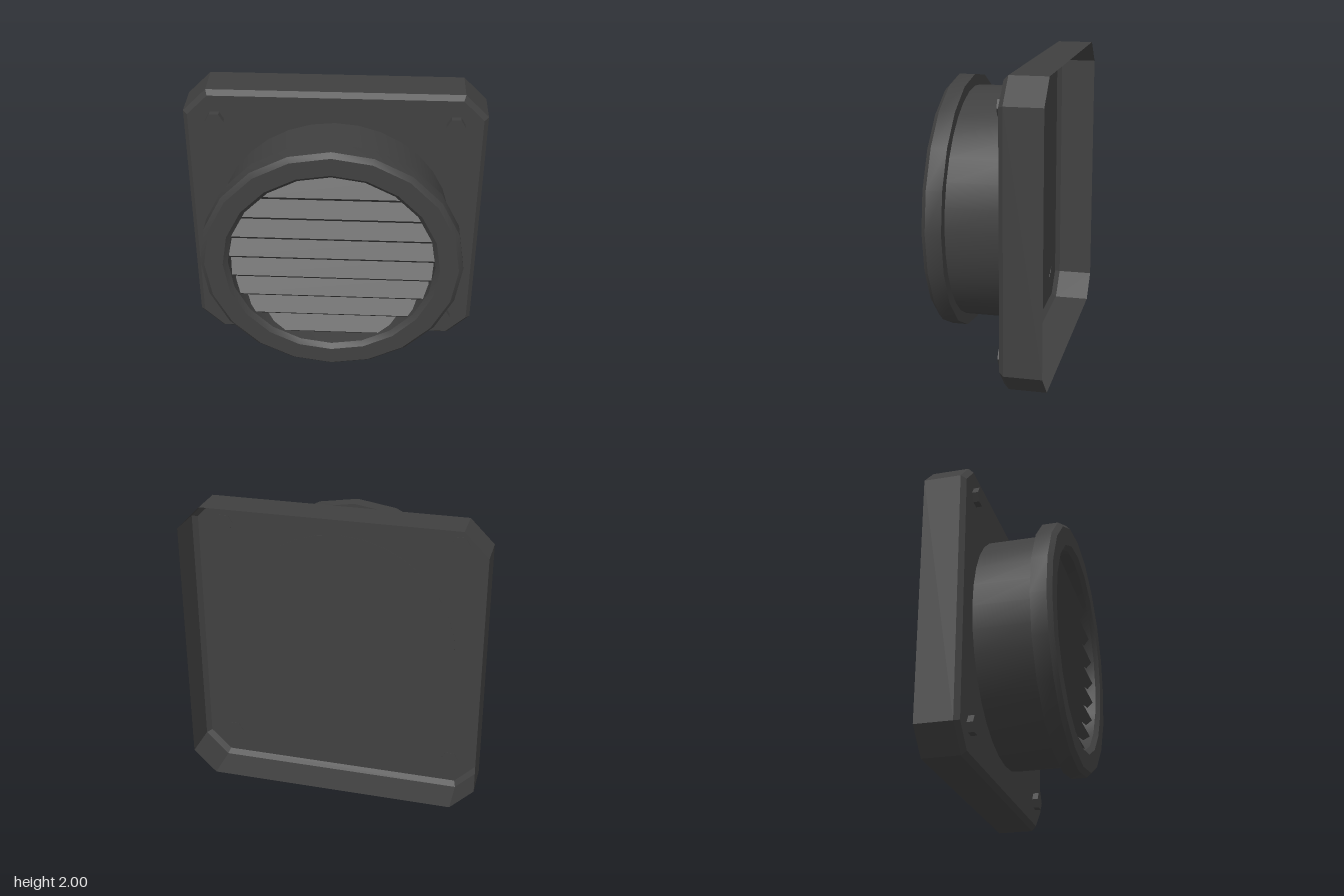
import * as THREE from 'three';
import { toCreasedNormals } from 'three/addons/utils/BufferGeometryUtils.js';

// Octagon outline: half side h, straight edge running to +-c
const octagon = (h, c, z) => [
  [c, -h], [h, -c], [h, c], [c, h], [-c, h], [-h, c], [-h, -c], [-c, -h],
].map(([x, y]) => [x, y, z]);

// Flat-faced shell skinned through the loops, closed at the last one
function loftShell(loops) {
  const pos = [];
  const tri = (...pts) => pts.forEach((p) => pos.push(...p));
  for (let k = 0; k < loops.length - 1; k++) {
    const a = loops[k], b = loops[k + 1];
    a.forEach((p, i) => {
      const j = (i + 1) % a.length;
      tri(p, a[j], b[j]);
      tri(p, b[j], b[i]);
    });
  }
  const cap = loops[loops.length - 1];
  for (let i = 1; i < cap.length - 1; i++) tri(cap[0], cap[i], cap[i + 1]);
  const geo = new THREE.BufferGeometry();
  geo.setAttribute('position', new THREE.Float32BufferAttribute(pos, 3));
  geo.computeVertexNormals();
  return geo;
}

// Turned part around the z axis, from [radius, z] pairs
function turned(profile, segments) {
  const geo = new THREE.LatheGeometry(profile.map(([r, z]) => new THREE.Vector2(r, z)), segments);
  geo.rotateX(Math.PI / 2);
  return toCreasedNormals(geo, 0.5);
}

export function createModel() {
  const group = new THREE.Group();
  const charcoal = new THREE.MeshStandardMaterial({ color: 0x404040, side: THREE.DoubleSide });
  const add = (name, geo, x = 0, y = 0, z = 0) => {
    const mesh = new THREE.Mesh(geo, charcoal);
    mesh.name = name;
    mesh.position.set(x, y, z);
    group.add(mesh);
    return mesh;
  };

  // Wall plate: thin shell, open at the back, with a chamfered front
  add('wallPlate', loftShell([
    octagon(1, 0.842, -0.4),
    octagon(1, 0.842, -0.155),
    octagon(0.97, 0.83, -0.123),
  ]), 0, 1, 0);

  // Duct with a recessed floor behind the louvres
  add('duct', turned([
    [0, -0.125], [0.79, -0.125], [0.79, 0.28], [0.69, 0.28], [0.69, 0.2], [0, 0.2],
  ], 32), 0, 1, 0);

  // Chamfered front ring
  add('frontRing', turned([
    [0.685, 0.265], [0.868, 0.265], [0.868, 0.37], [0.838, 0.4],
    [0.715, 0.4], [0.685, 0.37], [0.685, 0.2],
  ], 20), 0, 1, 0);

  // Louvre slats, sloping down to the front and cut to the ring's width
  for (let i = 0; i < 8; i++) {
    const y = 1.541 - i * 0.158;
    const width = 2 * Math.sqrt(0.72 ** 2 - (y - 1) ** 2);
    add('louvreSlat', new THREE.BoxGeometry(width, 0.056, 0.142), 0, y, 0.28).rotation.x = Math.PI / 4;
  }

  // Hexagonal corner bolts
  const boltGeo = new THREE.CylinderGeometry(0.062, 0.062, 0.043, 6)
    .rotateY(Math.PI / 6).rotateX(Math.PI / 2);
  const bolt = toCreasedNormals(boltGeo, 0.5);
  for (const x of [-0.788, 0.788]) {
    for (const y of [0.2, 1.8]) add('cornerBolt', bolt, x, y, -0.1045);
  }

  return group;
}
